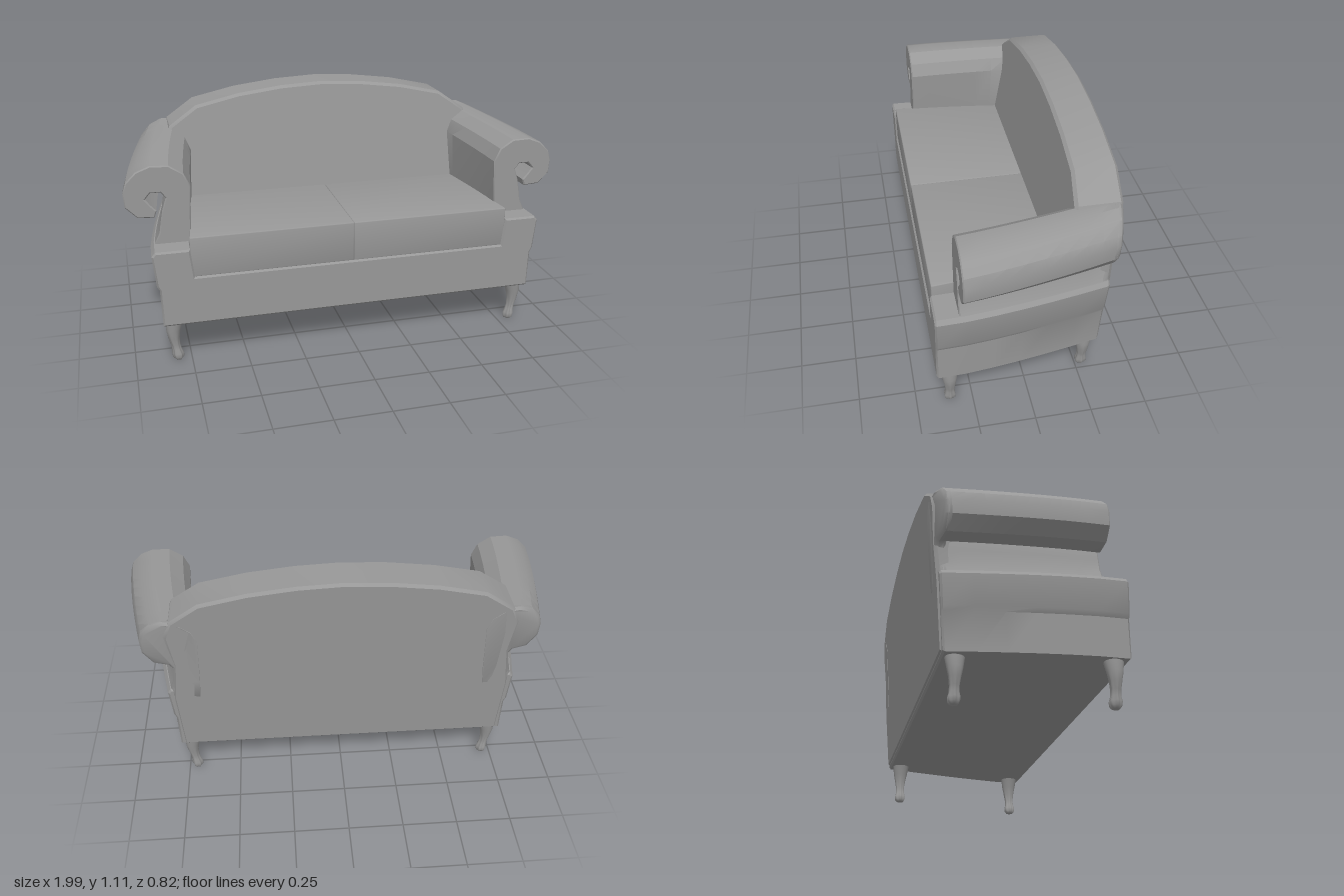
import * as THREE from 'three';
import { toCreasedNormals } from 'three/addons/utils/BufferGeometryUtils.js';
import { RoundedBoxGeometry } from 'three/addons/geometries/RoundedBoxGeometry.js';

// Dark grey upholstery
const material = new THREE.MeshStandardMaterial({ color: 0x989898, side: THREE.DoubleSide });
const clamp = THREE.MathUtils.clamp;

// Move every vertex by a rule that edits the vector in place
function bend(geo, rule) {
  const pos = geo.attributes.position;
  const v = new THREE.Vector3();
  for (let i = 0; i < pos.count; i++) {
    v.fromBufferAttribute(pos, i);
    rule(v);
    pos.setXYZ(i, v.x, v.y, v.z);
  }
  return geo;
}

// 0 at the front of the sofa, 1 at its rear
const depthAt = z => clamp((0.35 - z) / 0.7, 0, 1);

// Narrow the plan towards the rear and lean the rear backwards
function taper(v) {
  const t = depthAt(v.z);
  v.x *= 1 - 0.12 * Math.pow(t, 1.4);
  v.z -= 0.075 * Math.max(0, v.y - 0.2) * t;
}

// Raise the arm slightly towards the rear and round its outer rear corner
function shapeArm(v) {
  const t = depthAt(v.z);
  v.y += 0.035 * t * clamp((v.y - 0.6) / 0.1, 0, 1);
  v.z += 0.03 * clamp((Math.abs(v.x) - 0.82) / 0.15, 0, 1) * Math.pow(t, 6);
  taper(v);
}

// Extrude an xy outline from z0 to z1 with small chamfers
function extrude(points, z0, z1, chamfer, steps) {
  const shape = new THREE.Shape(points.map(p => new THREE.Vector2(p[0], p[1])));
  const geo = new THREE.ExtrudeGeometry(shape, {
    depth: z1 - z0 - 2 * chamfer, steps, bevelEnabled: true, bevelSegments: 1,
    bevelSize: chamfer, bevelThickness: chamfer, bevelOffset: -chamfer,
  });
  return geo.translate(0, 0, z0 + chamfer);
}

// Complete a half outline (running from outer bottom to the middle) by mirroring
const mirrored = half => [...half, ...half.filter(p => p[0] > 0).reverse().map(p => [-p[0], p[1]])];

function createLeg() {
  const profile = [[0, 0], [0.016, 0], [0.024, 0.012], [0.025, 0.03], [0.02, 0.05],
    [0.02, 0.075], [0.026, 0.11], [0.034, 0.15], [0.043, 0.205]];
  const geo = new THREE.LatheGeometry(profile.map(p => new THREE.Vector2(p[0], p[1])), 24);
  return bend(geo, v => {
    // Carved lobes on the foot and shin, slimmer knee bowed outwards above
    const carving = 0.13 * clamp((0.13 - v.y) / 0.06, 0, 1);
    const lobes = 1 + carving * Math.cos(6 * Math.atan2(v.z, v.x));
    v.x = v.x * lobes * 0.95 + 0.009 * Math.sin((v.y - 0.06) * 22);
    v.z *= lobes;
  });
}

export function createModel() {
  const sofa = new THREE.Group();
  const add = (name, geo, crease = 0.45) => {
    const mesh = new THREE.Mesh(crease ? toCreasedNormals(geo, crease) : geo, material);
    mesh.name = name;
    sofa.add(mesh);
    return mesh;
  };

  // Base with raised front posts either side of the seat
  const baseHalf = [[0.87, 0.195], [0.875, 0.37], [0.886, 0.39], [0.9, 0.53], [0.885, 0.55],
    [0.735, 0.55], [0.72, 0.42]];
  add('base', bend(extrude(mirrored(baseHalf), -0.335, 0.41, 0.008, 6), taper));

  // Backrest with an arched top, its front leaning back more than its rear
  const backHalf = [[0.755, 0.2], [0.775, 0.5], [0.755, 0.7], [0.78, 0.86], [0.75, 0.94], [0.62, 1.03],
    [0.41, 1.076], [0.2, 1.102], [0, 1.112]];
  add('backrest', bend(extrude(mirrored(backHalf), -0.342, -0.14, 0.013, 1), v => {
    const front = clamp((v.z + 0.342) / 0.202, 0, 1);
    v.z -= front * 0.16 * (v.y - 0.6) + (1 - front) * 0.077 * (v.y - 0.2);
  }));

  // Rolled arms: a scroll section swept from rear to front, closed off at the rear
  const rollOuter = [[0.73, 0.5], [0.72, 0.6], [0.71, 0.8], [0.738, 0.86], [0.8, 0.9], [0.88, 0.903],
    [0.94, 0.88], [0.985, 0.835], [1, 0.79], [0.995, 0.725], [0.945, 0.675], [0.872, 0.67]];
  const rollInner = [[0.862, 0.70], [0.885, 0.725], [0.908, 0.755], [0.885, 0.782], [0.84, 0.782],
    [0.82, 0.755], [0.838, 0.70]];
  const neck = [[0.848, 0.65], [0.856, 0.6], [0.885, 0.54], [0.88, 0.5]];
  for (const side of [1, -1]) {
    const name = side > 0 ? 'left' : 'right';
    const flip = points => points.map(p => [p[0] * side, p[1]]);
    add(name + 'Arm', bend(extrude(flip([...rollOuter, ...rollInner, ...neck]), -0.33, 0.308, 0.005, 8), shapeArm));
    add(name + 'ArmEnd', bend(extrude(flip([...rollOuter, ...neck]), -0.345, -0.3, 0.012, 1), shapeArm), 0.8);
  }

  // Two seat cushions meeting at a fine seam
  for (const side of [1, -1]) {
    const geo = new RoundedBoxGeometry(0.735, 0.185, 0.58, 2, 0.005);
    geo.translate(side * 0.3675, 0.5105, 0.112);
    add(side > 0 ? 'leftCushion' : 'rightCushion', bend(geo, taper), 0.6);
  }

  // Four carved legs
  for (const side of [1, -1]) {
    for (const [name, x, z] of [['FrontLeg', 0.818, 0.35], ['RearLeg', 0.718, -0.278]]) {
      const leg = add((side > 0 ? 'left' : 'right') + name, createLeg(), 0);
      leg.geometry.computeVertexNormals();
      leg.position.set(side * x, 0, z);
      if (side < 0) leg.rotation.y = Math.PI;
    }
  }
  return sofa;
}
